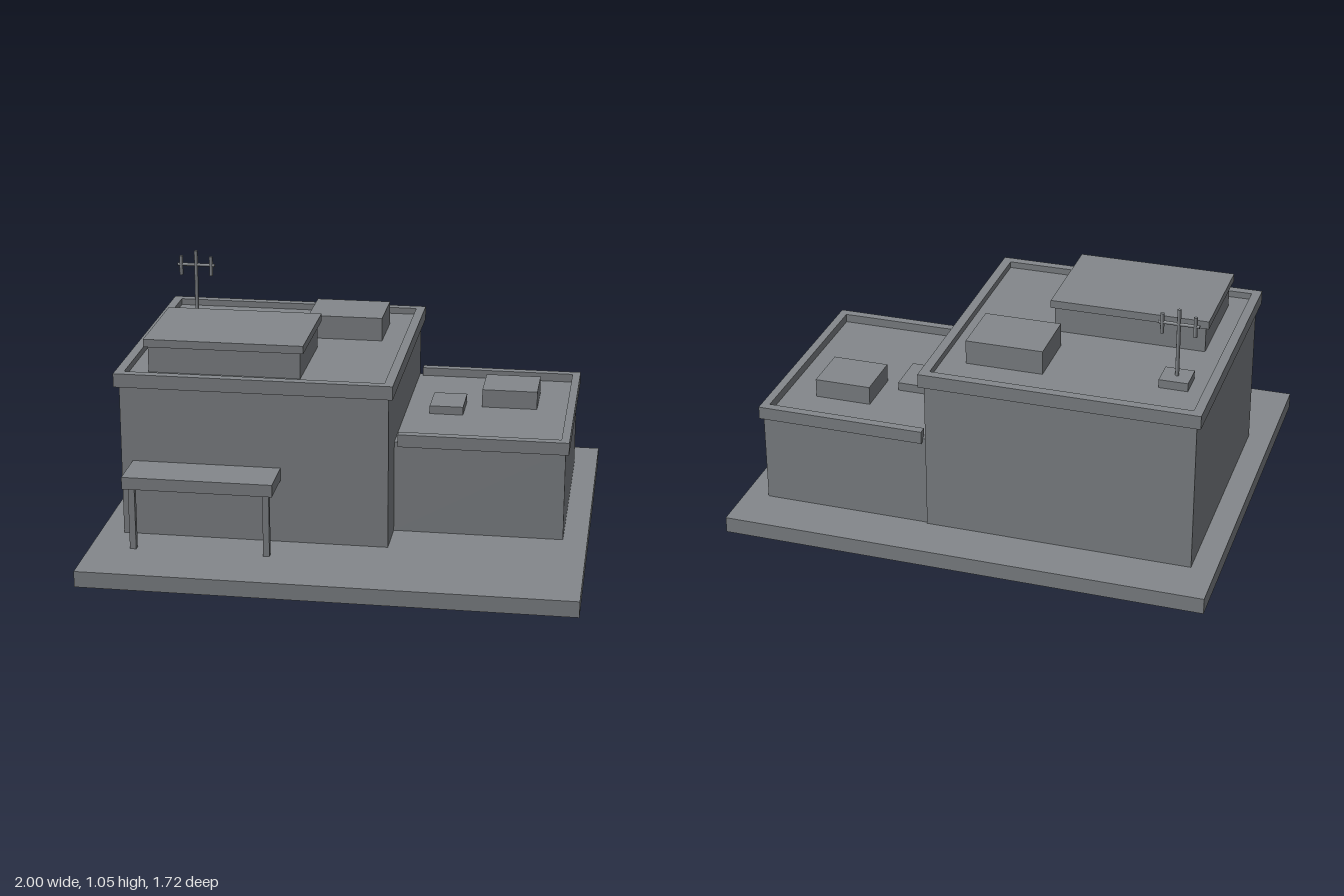
import * as THREE from 'three';

export function createModel() {
  const model = new THREE.Group();
  const concrete = new THREE.MeshStandardMaterial({ color: 0x84888c });
  concrete.name = 'concrete grey';

  // Box given by its extents along each axis
  function box(name, [x0, x1], [y0, y1], [z0, z1]) {
    const mesh = new THREE.Mesh(new THREE.BoxGeometry(x1 - x0, y1 - y0, z1 - z0), concrete);
    mesh.position.set((x0 + x1) / 2, (y0 + y1) / 2, (z0 + z1) / 2);
    mesh.name = name;
    model.add(mesh);
  }

  // Round bar given by its centre and length
  function bar(name, radius, length, [x, y, z], alongX = false) {
    const mesh = new THREE.Mesh(new THREE.CylinderGeometry(radius, radius, length, 8), concrete);
    mesh.position.set(x, y, z);
    if (alongX) mesh.rotation.z = Math.PI / 2;
    mesh.name = name;
    model.add(mesh);
  }

  // Ground slab and the two building blocks
  const ground = 0.067;
  box('groundSlab', [-1, 1], [0, ground], [-0.863, 0.86]);
  box('mainBlock', [-0.9, 0.2], [ground, 0.735], [-0.66, 0.435]);
  box('sideWing', [0.2, 0.9], [ground, 0.457], [-0.652, 0.25]);

  // Main roof parapet
  const mainRim = [0.705, 0.762];
  box('mainParapetFront', [-0.92, 0.218], mainRim, [0.412, 0.45]);
  box('mainParapetBack', [-0.92, 0.218], mainRim, [-0.683, -0.645]);
  box('mainParapetRight', [-0.92, -0.882], mainRim, [-0.645, 0.412]);
  box('mainParapetLeft', [0.18, 0.218], mainRim, [-0.645, 0.412]);

  // Wing roof parapet, open where it meets the main block
  const wingRim = [0.44, 0.493];
  box('wingParapetFront', [0.215, 0.914], wingRim, [0.225, 0.262]);
  box('wingParapetBack', [0.215, 0.914], wingRim, [-0.666, -0.63]);
  box('wingParapetLeft', [0.88, 0.914], wingRim, [-0.63, 0.225]);

  // Roof structures
  box('penthouse', [-0.803, -0.175], [0.72, 0.845], [-0.11, 0.325]);
  box('penthouseCap', [-0.818, -0.16], [0.845, 0.878], [-0.125, 0.34]);
  box('mainRoofUnit', [-0.235, 0.083], [0.72, 0.835], [-0.488, -0.232]);
  box('wingRoofUnit', [0.515, 0.75], [0.445, 0.535], [-0.45, -0.238]);
  box('wingRoofHatch', [0.303, 0.445], [0.445, 0.492], [-0.3, -0.12]);

  // Aerial: footing, mast, crossarm and two uprights
  const mastX = -0.757, mastZ = -0.4;
  box('aerialFooting', [-0.815, -0.697], [0.72, 0.77], [-0.458, -0.345]);
  bar('aerialMast', 0.008, 0.29, [mastX, 0.91, mastZ]);
  bar('aerialCrossarm', 0.007, 0.165, [mastX, 0.992, mastZ], true);
  for (const side of [-1, 1]) {
    bar('aerialUpright', 0.008, 0.085, [mastX + side * 0.066, 0.988, mastZ]);
  }

  // Entrance canopy on two posts
  box('canopy', [-0.853, -0.24], [0.336, 0.387], [0.435, 0.63]);
  for (const x of [-0.822, -0.272]) {
    box('canopyPost', [x - 0.013, x + 0.013], [ground, 0.336], [0.574, 0.6]);
  }

  return model;
}
